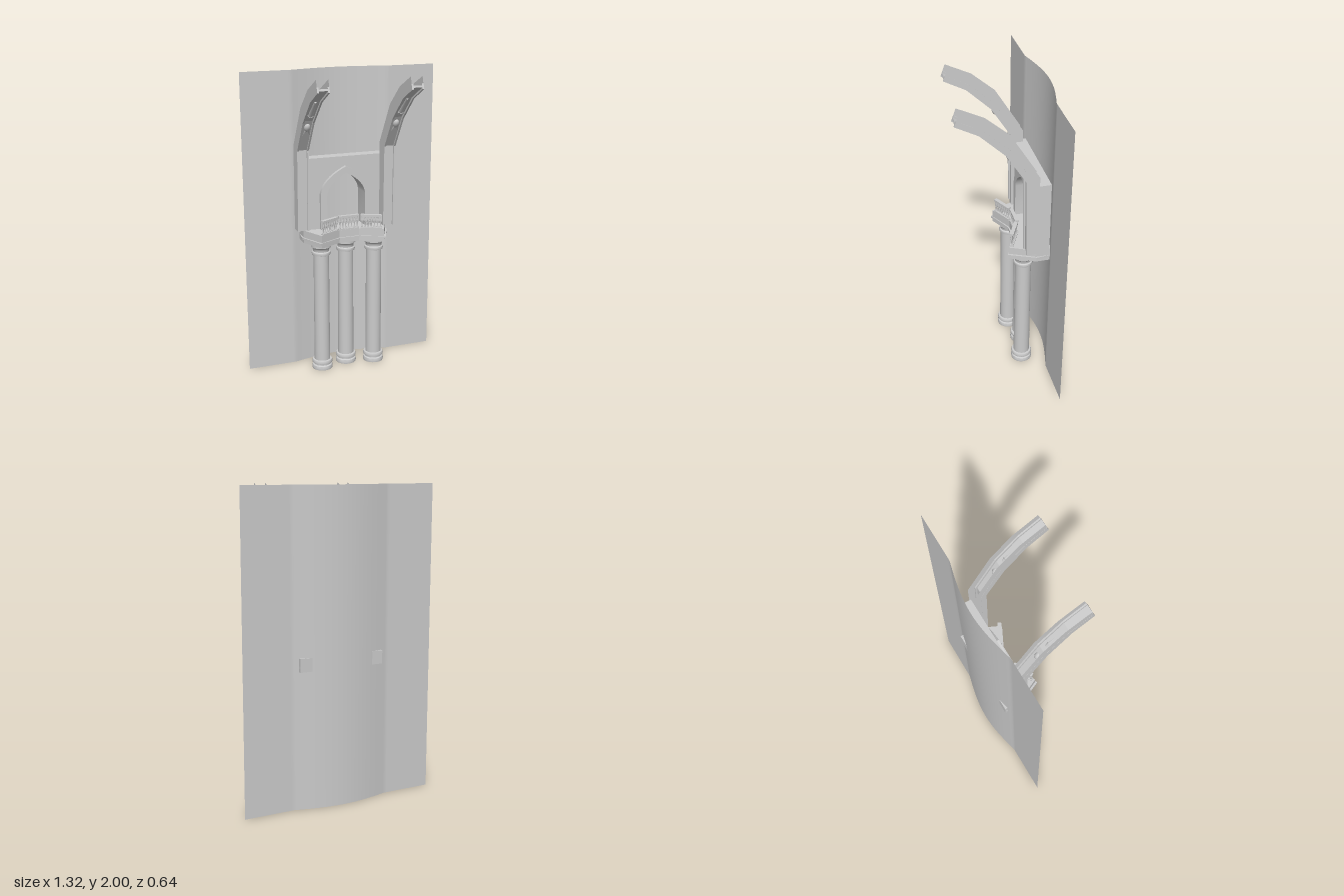
import * as THREE from 'three';
import { toCreasedNormals } from 'three/addons/utils/BufferGeometryUtils.js';

const grey = new THREE.MeshStandardMaterial({ color: 0xcccccc });
const greyDouble = new THREE.MeshStandardMaterial({ color: 0xcccccc, side: THREE.DoubleSide });
const CX = 0.004;

function add(parent, name, geometry, material = grey) {
  const mesh = new THREE.Mesh(geometry, material);
  mesh.name = name;
  parent.add(mesh);
  return mesh;
}

const polygon = (pts) => new THREE.Shape(pts.map(([x, y]) => new THREE.Vector2(x, y)));

function lathe(profile, sides) {
  const geo = new THREE.LatheGeometry(profile.map(([r, y]) => new THREE.Vector2(r, y)), sides);
  return toCreasedNormals(geo, 0.7);
}

// Pointed arch outline standing on y = 0.965
function archOutline(path, half, spring, top) {
  path.moveTo(-half, 0.965);
  path.lineTo(half, 0.965);
  path.lineTo(half, spring);
  path.quadraticCurveTo(half * 0.92, spring + (top - spring) * 0.58, 0, top);
  path.quadraticCurveTo(-half * 0.92, spring + (top - spring) * 0.58, -half, spring);
  path.lineTo(-half, 0.965);
  return path;
}

// Flat plan outline (x, z) raised between two heights
function slab(plan, y0, y1) {
  const geo = new THREE.ExtrudeGeometry(polygon(plan.map(([x, z]) => [x, -z])), { depth: y1 - y0, bevelEnabled: false });
  return geo.rotateX(-Math.PI / 2).translate(CX, y0, 0);
}

// Curved rib, as (z, y) edges of its underside and its back
const under = [[-0.113, 0.965], [-0.103, 1.5], [0.024, 1.70], [0.18, 1.85], [0.32, 1.925]];
const back = [[-0.187, 0.965], [-0.187, 1.52], [-0.02, 1.79], [0.13, 1.92], [0.293, 2.0]];
const ribPoint = (i, f) => [0, 1].map((k) => under[i][k] * (1 - f) + back[i][k] * f);

function ribStrip(f0, f1) {
  const low = under.map((_, i) => ribPoint(i, f0));
  const high = under.map((_, i) => ribPoint(i, f1)).reverse();
  return polygon([...low, ...high]);
}

function ribSolid(f0, f1, x0, x1) {
  const geo = new THREE.ExtrudeGeometry(ribStrip(f0, f1), { depth: x1 - x0, bevelEnabled: false });
  return geo.rotateY(-Math.PI / 2).translate(x1, 0, 0);
}

function makeRib() {
  const rib = new THREE.Group();
  rib.name = 'curvedRib';
  add(rib, 'ribWeb', ribSolid(0.14, 0.3, -0.03, 0.03));
  for (const s of [-1, 1]) {
    add(rib, 'ribRim', ribSolid(0, 0.45, Math.min(s * 0.028, s * 0.039), Math.max(s * 0.028, s * 0.039)));
    add(rib, 'ribFin', new THREE.ShapeGeometry(ribStrip(0, 1)).rotateY(-Math.PI / 2).translate(s * 0.038, 0, 0), greyDouble);
  }
  // Small carved ornament set into the web
  const onRib = (i, t) => {
    const a = ribPoint(i, 0.15), b = ribPoint(i + 1, 0.15);
    const holder = new THREE.Group();
    holder.name = 'ornament';
    holder.position.set(0, a[1] + (b[1] - a[1]) * t, a[0] + (b[0] - a[0]) * t);
    holder.rotation.x = Math.atan2(b[0] - a[0], b[1] - a[1]);
    rib.add(holder);
    return holder;
  };
  const upper = onRib(2, 0.58);
  add(upper, 'ornamentBody', new THREE.CylinderGeometry(0.009, 0.019, 0.15, 6));
  add(upper, 'ornamentCollar', new THREE.CylinderGeometry(0.021, 0.017, 0.025, 6)).position.y = -0.075;
  const lower = onRib(1, 0.78);
  add(lower, 'ornamentHead', new THREE.SphereGeometry(0.021, 10, 8).scale(1, 1.5, 1));
  for (const s of [-1, 1]) {
    const leaf = add(lower, 'ornamentLeaf', new THREE.ConeGeometry(0.009, 0.06, 5));
    leaf.position.set(s * 0.013, -0.03, 0.008);
    leaf.rotation.z = Math.PI - s * -0.3;
  }
  return rib;
}

function makeColumn() {
  const column = new THREE.Group();
  column.name = 'column';
  add(column, 'columnBase', lathe([[0, 0], [0.068, 0], [0.07, 0.012], [0.066, 0.026], [0.057, 0.03], [0.057, 0.038],
    [0.067, 0.042], [0.069, 0.053], [0.065, 0.064], [0.052, 0.066]], 28));
  add(column, 'columnShaft', new THREE.CylinderGeometry(0.051, 0.053, 0.75, 28, 1, true).translate(0, 0.44, 0));
  add(column, 'columnCapital', lathe([[0.051, 0.808], [0.06, 0.81], [0.063, 0.82], [0.06, 0.83], [0.053, 0.834],
    [0.053, 0.848], [0.06, 0.858], [0.066, 0.864], [0.066, 0.88], [0, 0.88]], 28));
  return column;
}

// Straight run of railing between two plan points
function makeBalustrade(x0, z0, x1, z1) {
  const run = new THREE.Group();
  run.name = 'balustrade';
  const length = Math.hypot(x1 - x0, z1 - z0);
  run.position.set((x0 + x1) / 2 + CX, 0.965, (z0 + z1) / 2);
  run.rotation.y = -Math.atan2(z1 - z0, x1 - x0);
  add(run, 'footRail', new THREE.BoxGeometry(length, 0.008, 0.022).translate(0, 0.004, 0));
  add(run, 'handRail', new THREE.BoxGeometry(length, 0.014, 0.024).translate(0, 0.088, 0));
  add(run, 'railBand', new THREE.BoxGeometry(length, 0.03, 0.008).translate(0, 0.067, 0));
  const baluster = lathe([[0.007, 0.008], [0.004, 0.02], [0.004, 0.035], [0.008, 0.05], [0.009, 0.062], [0.005, 0.074], [0.008, 0.082]], 8);
  const count = 7;
  for (let i = 0; i < count; i++) {
    add(run, 'baluster', baluster).position.x = (i / (count - 1) - 0.5) * (length - 0.018);
  }
  return run;
}

// Backdrop sheet: flat at the sides, hollowed in the middle
function makeBackWall() {
  const geo = new THREE.PlaneGeometry(1.316, 2, 80, 1).translate(0, 1, 0);
  const p = geo.attributes.position;
  for (let i = 0; i < p.count; i++) {
    const x = p.getX(i);
    const dip = Math.abs(x) < 0.33 ? Math.cos((Math.PI * x) / 0.66) : 0;
    p.setZ(i, -0.266 - 0.054 * dip);
  }
  geo.computeVertexNormals();
  return geo;
}

export function createModel() {
  const model = new THREE.Group();
  model.name = 'balconyFacade';

  add(model, 'backWall', makeBackWall(), greyDouble);

  // Panel with arched opening, and the arch frame running through it
  const panelShape = polygon([[-0.29, 0.965], [0.29, 0.965], [0.29, 1.44], [-0.29, 1.44]]);
  panelShape.holes.push(archOutline(new THREE.Path(), 0.15, 1.19, 1.35));
  add(model, 'archPanel', new THREE.ExtrudeGeometry(panelShape, { depth: 0.083, bevelEnabled: false }).translate(CX, 0, -0.27));
  const frameShape = archOutline(new THREE.Shape(), 0.175, 1.2, 1.378);
  frameShape.holes.push(archOutline(new THREE.Path(), 0.132, 1.19, 1.335));
  const frame = new THREE.ExtrudeGeometry(frameShape, { depth: 0.133, bevelEnabled: false, curveSegments: 10 });
  add(model, 'archFrame', toCreasedNormals(frame.translate(CX, 0, -0.295), 0.5));

  // Balcony floor with its moulding
  const plan = (e) => [[-0.288, -0.295], [0.288, -0.295], [0.288 + e, -0.187], [0.215 + e, -0.03 + e],
    [0.068, -0.107 + e], [-0.068, -0.107 + e], [-0.215 - e, -0.03 + e], [-0.288 - e, -0.187]];
  add(model, 'balconyFloor', slab(plan(0), 0.88, 0.965));
  add(model, 'balconyMoulding', slab(plan(0.01), 0.903, 0.917));

  model.add(makeBalustrade(-0.07, -0.119, 0.07, -0.119));
  model.add(makeBalustrade(-0.207, -0.047, -0.082, -0.11));
  model.add(makeBalustrade(0.082, -0.11, 0.207, -0.047));

  for (const [x, z] of [[-0.185, -0.132], [0, -0.175], [0.185, -0.132]]) {
    const column = makeColumn();
    column.position.set(x + 0.002, 0, z);
    model.add(column);
  }

  // The two ribs stand at slightly different depths
  for (const [x, z] of [[-0.288, -0.055], [0.285, 0]]) {
    const rib = makeRib();
    rib.position.set(x, 0, z);
    model.add(rib);
  }
  return model;
}
